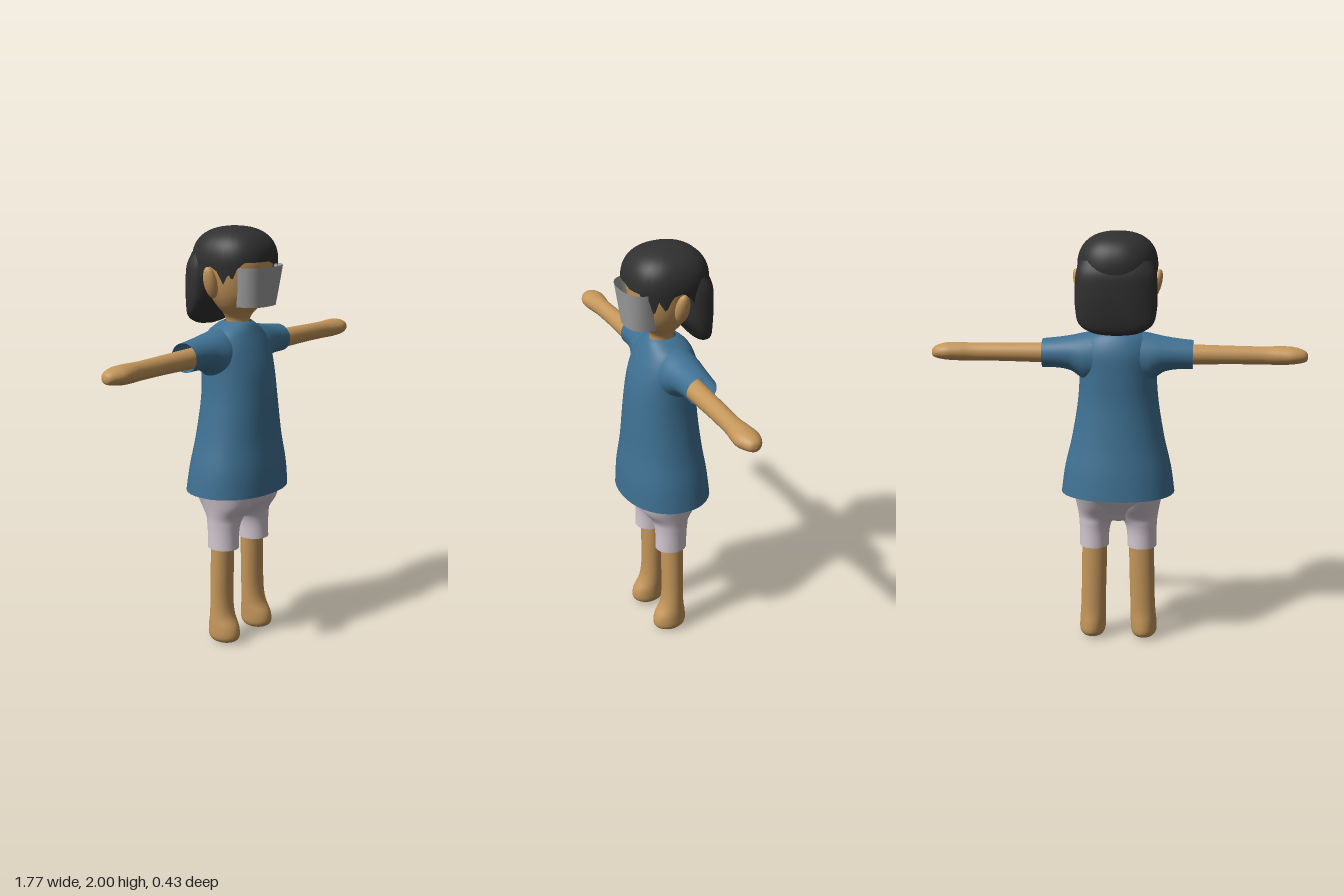
import * as THREE from 'three';

// Smooth surface from a rule fn(u, v); u runs around, v runs along the part.
function grid(fn, nu, nv, closed = true) {
  const pos = [], idx = [], cols = closed ? nu : nu + 1;
  for (let i = 0; i <= nv; i++)
    for (let j = 0; j < cols; j++) pos.push(...fn(j / nu, i / nv));
  for (let i = 0; i < nv; i++)
    for (let j = 0; j < nu; j++) {
      const k = (j + 1) % cols;
      const a = i * cols + j, b = i * cols + k, c = b + cols, d = a + cols;
      idx.push(a, b, c, a, c, d);
    }
  const g = new THREE.BufferGeometry();
  g.setAttribute('position', new THREE.Float32BufferAttribute(pos, 3));
  g.setIndex(idx);
  g.computeVertexNormals();
  return g;
}

const power = (v, e) => Math.sign(v) * Math.abs(v) ** (2 / e);

// Catmull-Rom blend of section rows
function sample(rows, t) {
  const f = t * (rows.length - 1), i = Math.min(Math.floor(f), rows.length - 2), s = f - i;
  const at = k => rows[Math.max(0, Math.min(rows.length - 1, k))];
  const [p, q, r, w] = [at(i - 1), at(i), at(i + 1), at(i + 2)];
  return q.map((_, n) => 0.5 * (2 * q[n] + (r[n] - p[n]) * s
    + (2 * p[n] - 5 * q[n] + 4 * r[n] - w[n]) * s * s
    + (3 * q[n] - p[n] - 3 * r[n] + w[n]) * s * s * s));
}

// Loft of rounded sections, each [y, xMin, xMax, zMin, zMax], from bottom to top
function loft(rows, e = 2, arc = Math.PI * 2) {
  const closed = arc > 6;
  return grid((u, v) => {
    const [y, x0, x1, z0, z1] = sample(rows, v), a = (u - 0.5) * arc;
    return [
      (x0 + x1) / 2 + (x1 - x0) / 2 * power(Math.sin(a), e), y,
      (z0 + z1) / 2 + (z1 - z0) / 2 * power(Math.cos(a), e)
    ];
  }, 40, (rows.length - 1) * 5, closed);
}

// Symmetric rows [y, halfWidth, zMin, zMax]
const centred = rows => rows.map(([y, w, z0, z1]) => [y, -w, w, z0, z1]);
// Rows beside the middle, for side s
const sided = (rows, s) => rows.map(([y, a, b, z0, z1]) => s > 0 ? [y, a, b, z0, z1] : [y, -b, -a, z0, z1]);
// Rows [x, yMin, yMax, zMin, zMax] laid out sideways
function sideLoft(rows, s) {
  const g = loft(rows.map(([x, a, b, z0, z1]) => s > 0 ? [x, -b, -a, z0, z1] : [x, a, b, z0, z1]));
  return g.rotateZ(-s * Math.PI / 2);
}

// Lower edge of the hair cap: [degrees from the front, y]
const HAIRLINE = [
  [-180, 1.74], [-112, 1.75], [-100, 1.8], [-90, 1.83], [-81, 1.81], [-72, 1.75], [-64, 1.8],
  [-58, 1.77], [-51, 1.82], [-40, 1.85], [0, 1.85], [10, 1.835], [30, 1.83], [38, 1.78],
  [44, 1.81], [52, 1.73], [60, 1.8], [70, 1.75], [80, 1.82], [90, 1.83], [100, 1.8],
  [112, 1.75], [180, 1.74]
];
function hairline(deg) {
  const i = Math.max(1, HAIRLINE.findIndex(p => p[0] >= deg));
  const [a, ya] = HAIRLINE[i - 1], [b, yb] = HAIRLINE[i];
  return ya + (yb - ya) * (deg - a) / (b - a);
}

export function createModel() {
  const model = new THREE.Group();
  const material = (name, color, side = THREE.FrontSide) => {
    const m = new THREE.MeshStandardMaterial({ color, side });
    m.name = name;
    return m;
  };
  const skin = material('skin', 0xc4965a);
  const blue = material('blue cloth', 0x3f7193, THREE.DoubleSide);
  const pale = material('pale cloth', 0xd3c8d1, THREE.DoubleSide);
  const dark = material('dark hair', 0x303030, THREE.DoubleSide);
  const grey = material('grey visor', 0xa0a0a0, THREE.DoubleSide);
  const add = (name, geometry, mat) => {
    const mesh = new THREE.Mesh(geometry, mat);
    mesh.name = name;
    model.add(mesh);
    return mesh;
  };

  // Flared shirt, open at the hem
  add('shirt', loft(centred([
    [0.76, 0.272, -0.21, 0.215], [0.88, 0.255, -0.195, 0.21], [1.02, 0.222, -0.172, 0.194],
    [1.2, 0.192, -0.152, 0.182], [1.34, 0.182, -0.15, 0.165], [1.44, 0.182, -0.148, 0.135],
    [1.51, 0.15, -0.125, 0.105], [1.55, 0.09, -0.09, 0.085], [1.565, 0.06, -0.06, 0.072]
  ]), 2.15), blue);

  // Shorts: hips joined to two legs
  add('shortsHips', loft(centred([
    [0.605, 0.01, -0.01, 0.02], [0.625, 0.1, -0.06, 0.075], [0.66, 0.165, -0.085, 0.11],
    [0.71, 0.2, -0.135, 0.16], [0.77, 0.222, -0.185, 0.183], [0.86, 0.225, -0.17, 0.175]
  ])), pale);

  for (const s of [1, -1]) {
    const side = s > 0 ? 'left' : 'right';
    add(side + 'ShortsLeg', loft(sided([
      [0.48, 0.045, 0.187, -0.067, 0.087], [0.55, 0.043, 0.187, -0.068, 0.086],
      [0.6, 0.03, 0.189, -0.074, 0.09], [0.64, 0.0, 0.193, -0.085, 0.102],
      [0.7, -0.02, 0.204, -0.125, 0.145], [0.77, -0.02, 0.22, -0.16, 0.16]
    ], s)), pale);

    // Bare leg with a rounded foot
    add(side + 'Leg', loft(sided([
      [0, 0.124, 0.126, 0.02, 0.022], [0.006, 0.085, 0.167, -0.03, 0.075],
      [0.03, 0.066, 0.189, -0.058, 0.104], [0.08, 0.062, 0.19, -0.06, 0.1],
      [0.14, 0.061, 0.185, -0.052, 0.068], [0.22, 0.06, 0.181, -0.05, 0.055],
      [0.36, 0.056, 0.178, -0.05, 0.055], [0.56, 0.052, 0.174, -0.05, 0.057]
    ], s)), skin);

    // Sleeve and arm
    add(side + 'Sleeve', sideLoft([
      [0.06, 1.3, 1.545, -0.125, 0.095], [0.14, 1.3, 1.533, -0.125, 0.09],
      [0.18, 1.325, 1.525, -0.12, 0.08], [0.22, 1.352, 1.517, -0.112, 0.067],
      [0.28, 1.364, 1.508, -0.104, 0.056], [0.352, 1.365, 1.5, -0.097, 0.052]
    ], s), blue);
    add(side + 'Arm', sideLoft([
      [0.2, 1.382, 1.478, -0.055, 0.045], [0.36, 1.383, 1.476, -0.05, 0.045],
      [0.54, 1.386, 1.472, -0.044, 0.043], [0.68, 1.386, 1.47, -0.04, 0.045],
      [0.75, 1.385, 1.472, -0.048, 0.056], [0.81, 1.388, 1.47, -0.054, 0.062],
      [0.855, 1.395, 1.46, -0.042, 0.045], [0.88, 1.404, 1.445, -0.022, 0.026],
      [0.886, 1.423, 1.425, 0, 0.002]
    ], s), skin);

    // Ear, leaning outwards at the top
    const ear = add(side + 'Ear', new THREE.SphereGeometry(1, 20, 14), skin);
    ear.scale.set(0.027, 0.076, 0.034);
    ear.position.set(s * 0.174, 1.755, -0.015);
    ear.rotation.z = -s * 0.3;
  }

  // Neck and head in one smooth form
  add('head', loft(centred([
    [1.5, 0.06, -0.055, 0.065], [1.565, 0.058, -0.05, 0.06], [1.6, 0.075, -0.06, 0.075],
    [1.64, 0.112, -0.09, 0.112], [1.7, 0.143, -0.13, 0.143], [1.78, 0.162, -0.16, 0.16],
    [1.86, 0.168, -0.175, 0.164], [1.92, 0.145, -0.15, 0.14], [1.96, 0.09, -0.09, 0.085],
    [1.975, 0.001, -0.001, 0.001]
  ])), skin);

  // Hair cap with a ragged lower edge
  add('hairCap', grid((u, v) => {
    const a = (u - 0.5) * Math.PI * 2, low = hairline((u - 0.5) * 360);
    const y = low + (2 - low) * Math.sin(v * Math.PI / 2);
    const rise = Math.min(1, Math.max(0, (y - 1.84) / 0.16));
    const r = Math.max(0.002, (1 - rise ** 2.4) ** (1 / 2.4)) * (1 - 0.6 * Math.max(0, 1.84 - y));
    return [0.186 * r * power(Math.sin(a), 2.3), y, -0.011 + 0.194 * r * power(Math.cos(a), 2.3)];
  }, 120, 24), dark);

  // Long hair hanging behind the neck
  add('backHair', loft(centred([
    [1.538, 0.005, -0.153, -0.148], [1.55, 0.1, -0.176, -0.132], [1.59, 0.168, -0.19, -0.104],
    [1.66, 0.187, -0.2, -0.058], [1.74, 0.189, -0.205, -0.038], [1.82, 0.184, -0.203, -0.03],
    [1.88, 0.165, -0.18, -0.03]
  ]), 2.5), dark);

  // Curved face visor
  add('visor', loft(centred([
    [1.645, 0.112, -0.045, 0.188], [1.735, 0.125, -0.02, 0.2], [1.828, 0.138, -0.01, 0.213]
  ]), 2.6, Math.PI * 0.96), grey);

  return model;
}
